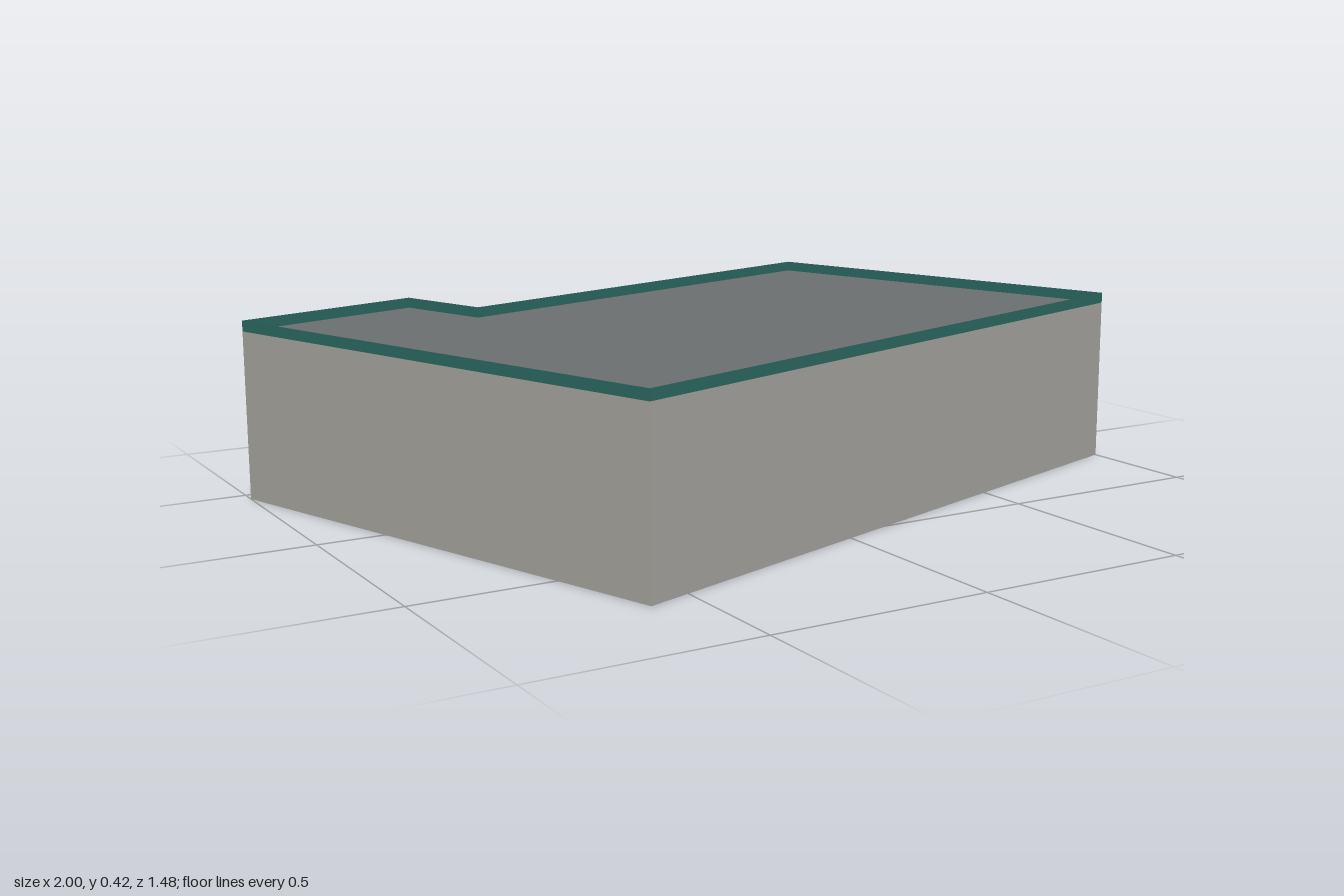
import * as THREE from 'three';

// Footprint corners (x, z), counter-clockwise seen from above, starting at the front
const FOOTPRINT = [
  [-0.6, 0.74], [1, 0.212], [0.675, -0.74],
  [-0.454, -0.372], [-0.534, -0.612], [-1, -0.458],
];
const ROOF_Y = 0.395;
const TOP_Y = 0.42;

function material(name, color) {
  const m = new THREE.MeshStandardMaterial({ color, side: THREE.DoubleSide });
  m.name = name;
  return m;
}

// Ring of thin upright panels following the footprint between two heights
function panelRing(name, y0, y1, mat) {
  const ring = new THREE.Group();
  ring.name = name + 's';
  FOOTPRINT.forEach(([ax, az], i) => {
    const [bx, bz] = FOOTPRINT[(i + 1) % FOOTPRINT.length];
    const length = Math.hypot(bx - ax, bz - az);
    const panel = new THREE.Mesh(new THREE.PlaneGeometry(length, y1 - y0), mat);
    panel.name = name;
    panel.position.set((ax + bx) / 2, (y0 + y1) / 2, (az + bz) / 2);
    panel.rotation.y = Math.atan2(az - bz, bx - ax);
    ring.add(panel);
  });
  return ring;
}

export function createModel() {
  const model = new THREE.Group();
  model.name = 'flatRoofBuilding';

  // Walls, open at the bottom, and the coloured parapet band above the roof
  model.add(panelRing('wall', 0, ROOF_Y, material('wall grey', 0xa9a7a1)));
  model.add(panelRing('parapet', ROOF_Y, TOP_Y, material('parapet teal', 0x2b6a63)));

  // Flat roof set just below the parapet edge
  const outline = new THREE.Shape(FOOTPRINT.map(([x, z]) => new THREE.Vector2(x, -z)));
  const roof = new THREE.Mesh(
    new THREE.ShapeGeometry(outline).rotateX(-Math.PI / 2),
    material('roof slate', 0x6c7071),
  );
  roof.name = 'roof';
  roof.position.y = ROOF_Y;
  model.add(roof);

  return model;
}
